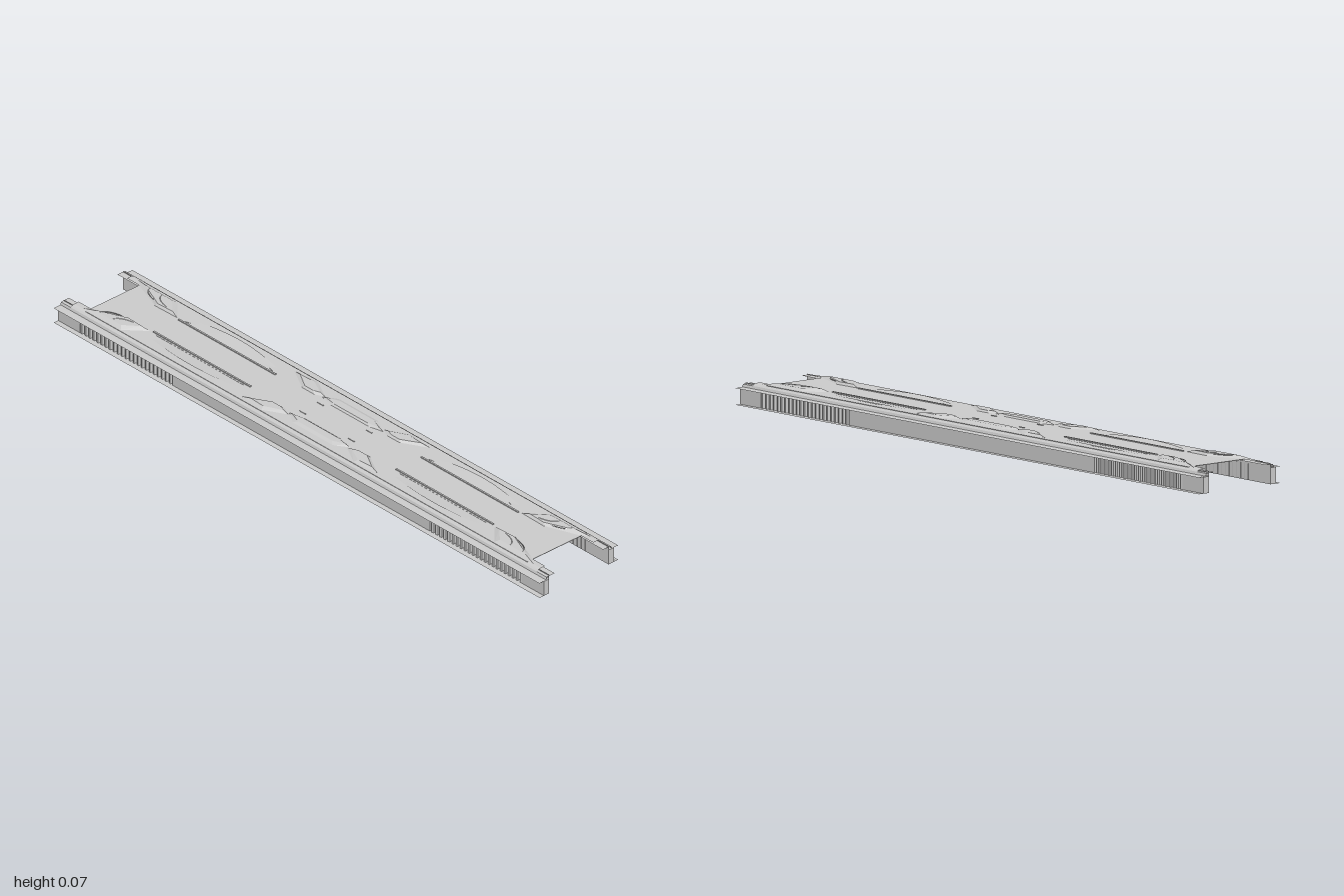
import * as THREE from 'three';

const mat = new THREE.MeshStandardMaterial({ color: 0xcccccc, side: THREE.DoubleSide, flatShading: true });
const DECK = 0.0625, THIN = 0.0015;

function add(parent, name, geometry) {
  const mesh = new THREE.Mesh(geometry, mat);
  mesh.name = name;
  parent.add(mesh);
  return mesh;
}

// Box given by its lower and upper corners
function box(parent, name, x0, x1, y0, y1, z0, z1) {
  const g = new THREE.BoxGeometry(x1 - x0, y1 - y0, z1 - z0);
  g.translate((x0 + x1) / 2, (y0 + y1) / 2, (z0 + z1) / 2);
  return add(parent, name, g);
}

const toPoints = pts => pts.map(([x, z]) => new THREE.Vector2(x, -z));

// Flat plate from an [x, z] outline, with its top at the given height
function plate(parent, name, outline, top, holes = [], depth = THIN) {
  const shape = new THREE.Shape(toPoints(outline));
  holes.forEach(h => shape.holes.push(new THREE.Path(toPoints(h))));
  const g = new THREE.ExtrudeGeometry(shape, { depth, bevelEnabled: false });
  g.rotateX(-Math.PI / 2);
  g.translate(0, top - depth, 0);
  return add(parent, name, g);
}

// Open-bottomed raised cover with sloping sides
function pod(parent, name, base, top, y0, y1) {
  const n = base.length;
  const pos = [], idx = [];
  base.forEach(([x, z]) => pos.push(x, y0, z));
  top.forEach(([x, z]) => pos.push(x, y1, z));
  for (let i = 0; i < n; i++) {
    const j = (i + 1) % n;
    idx.push(i, j, n + j, i, n + j, n + i);
  }
  THREE.ShapeUtils.triangulateShape(toPoints(top), []).forEach(t => idx.push(...t.map(k => k + n)));
  const g = new THREE.BufferGeometry();
  g.setAttribute('position', new THREE.Float32BufferAttribute(pos, 3));
  g.setIndex(idx);
  g.computeVertexNormals();
  return add(parent, name, g);
}

// Curved blade: a blister rising outwards, bowed along its length
function blade(parent, x0, x1) {
  const nx = 20, nz = 4;
  const g = new THREE.PlaneGeometry(1, 1, nx, nz);
  const p = g.attributes.position;
  for (let i = 0; i < p.count; i++) {
    const u = p.getX(i) + 0.5, v = 0.5 - p.getY(i);
    const bow = Math.sin(Math.PI * u);
    const z = 0.05 + v * (0.022 + 0.024 * bow);
    p.setXYZ(i, x0 + u * (x1 - x0), DECK - 0.001 + 0.005 * bow * v, z);
  }
  g.computeVertexNormals();
  add(parent, 'curvedBlade', g);
}

// Folded strip: a [z, y] profile swept along x
function strip(parent, name, x0, x1, profile) {
  const g = new THREE.PlaneGeometry(1, 1, 1, profile.length - 1);
  const p = g.attributes.position;
  for (let i = 0; i < p.count; i++) {
    const [z, y] = profile[Math.floor(i / 2)];
    p.setXYZ(i, i % 2 ? x1 : x0, y, z);
  }
  g.computeVertexNormals();
  return add(parent, name, g);
}

function sideRail() {
  const side = new THREE.Group();
  side.name = 'sideRail';

  // Channel: flanges, inner web and deck lip
  strip(side, 'bottomFlange', -1, 1, [[0.113, 0], [0.15, 0]]);
  strip(side, 'topFlange', -1, 1, [[0.113, 0.048], [0.136, 0.048], [0.15, 0.047]]);
  strip(side, 'innerWeb', -1, 1, [[0.113, 0.06], [0.113, 0]]);
  strip(side, 'railLip', -0.96, 0.96, [[0.122, 0.056], [0.117, 0.06], [0.108, DECK], [0.092, DECK]]);
  strip(side, 'railCap', -1, 1, [[0.125, 0.0485], [0.122, 0.056], [0.113, 0.057], [0.092, 0.057]]);

  // Outer web, flush panels between the vents
  [[-1, -0.91], [-0.53, 0.53], [0.91, 1]].forEach(([a, b]) =>
    box(side, 'outerPanel', a, b, 0, 0.047, 0.113, 0.133));

  // Vent fins
  for (const s of [-1, 1]) {
    const vent = new THREE.Group();
    vent.name = 'vent';
    for (let i = 0; i < 23; i++) {
      const fin = box(vent, 'ventFin', -0.0035, 0.0035, 0, 0.047, -0.01, 0.01);
      fin.position.set(s * (0.54 + i * 0.0165), 0, 0.123);
      fin.rotation.y = s * 0.2;
    }
    side.add(vent);
  }

  // Hexagonal frame beside the centre
  const hex = [[-0.13, 0.062], [-0.085, 0.092], [0.085, 0.092], [0.13, 0.062], [0.08, 0.05], [-0.08, 0.05]];
  const hexTop = [[-0.11, 0.064], [-0.07, 0.08], [0.07, 0.08], [0.11, 0.064], [0.07, 0.057], [-0.07, 0.057]];
  pod(side, 'centrePod', hex, hexTop, DECK - 0.001, 0.067);

  for (const s of [-1, 1]) {
    const m = pts => pts.map(([x, z]) => [s * x, z]);

    // Slanted scoops beside the centre
    pod(side, 'innerScoop', m([[0.12, 0.07], [0.15, 0.056], [0.2, 0.056], [0.28, 0.1], [0.19, 0.108]]),
      m([[0.14, 0.07], [0.16, 0.062], [0.195, 0.062], [0.25, 0.094], [0.195, 0.097]]), DECK, 0.068);

    // Scoops near the ends
    pod(side, 'outerScoop', m([[0.71, 0.052], [0.8, 0.05], [0.9, 0.088], [0.93, 0.108], [0.77, 0.108]]),
      m([[0.735, 0.058], [0.795, 0.056], [0.87, 0.088], [0.885, 0.097], [0.78, 0.097]]), DECK, 0.0695);

    // Curved ribs crossing the end scoops
    for (const x of [0.8, 0.85]) {
      const curve = new THREE.QuadraticBezierCurve3(
        new THREE.Vector3(s * (x - 0.035), 0.0685, 0.062),
        new THREE.Vector3(s * (x + 0.015), 0.0695, 0.07),
        new THREE.Vector3(s * (x + 0.02), 0.0685, 0.095));
      add(side, 'scoopRib', new THREE.TubeGeometry(curve, 10, 0.0015, 4));
    }

    // Long seam and blade
    const [a, b] = s > 0 ? [0.3, 0.7] : [-0.7, -0.3];
    box(side, 'seamRib', a, b, DECK - 0.001, DECK + 0.003, 0.045, 0.05);
    blade(side, a, b);

    // Small studs along the centre strip
    box(side, 'stud', s * 0.1 - 0.012, s * 0.1 + 0.012, DECK, DECK + 0.002, 0.032, 0.035);
  }
  return side;
}

export function createModel() {
  const model = new THREE.Group();
  model.name = 'chassisFrame';

  // Deck with openings below the blades and centre pods
  const holes = [];
  for (const z of [-1, 1]) {
    holes.push([[-0.085, 0.06 * z], [-0.06, 0.078 * z], [0.06, 0.078 * z], [0.085, 0.06 * z]]);
    for (const x of [-1, 1]) {
      holes.push([0, 0.2, 0.4, 0.6, 0.8, 1].map(u =>
        [x * (0.32 + 0.36 * u), z * (0.055 + 0.03 * Math.sin(Math.PI * u))]));
    }
  }
  plate(model, 'deck', [[-0.91, -0.113], [0.91, -0.113], [0.91, 0.113], [-0.91, 0.113]], DECK, holes);

  // Mirrored rails with their deck details
  const front = sideRail(), back = sideRail();
  back.rotation.y = Math.PI;
  model.add(front, back);
  return model;
}
